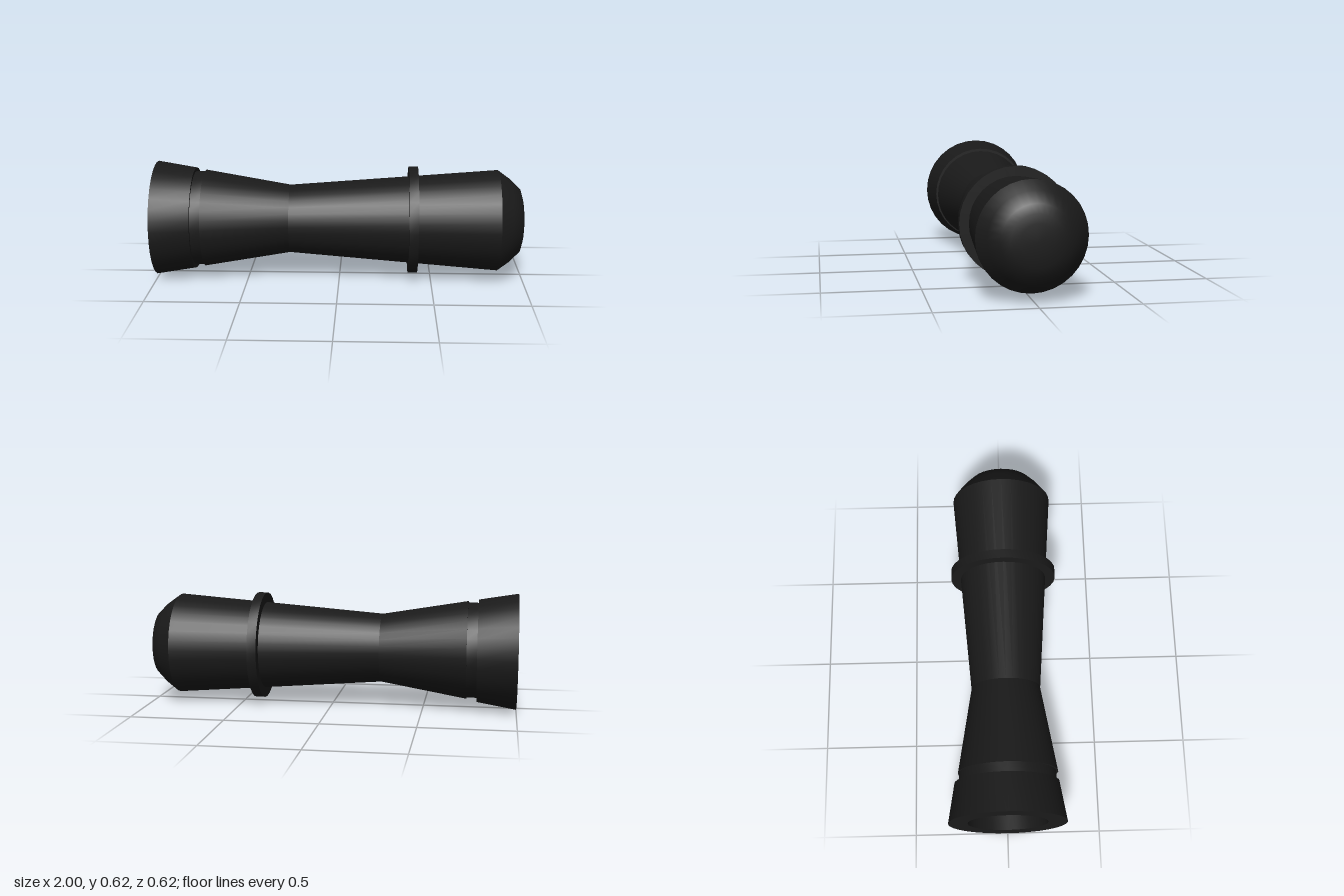
import * as THREE from 'three';
import { toCreasedNormals } from 'three/addons/utils/BufferGeometryUtils.js';

const SIDES = 32;

export function createModel() {
  const group = new THREE.Group();
  const material = new THREE.MeshStandardMaterial({ color: 0x1a1a1a });

  // Turned part: profile of [x along the tube, radius], laid along the x axis
  function turned(name, profile, y, z, crease = 0.22) {
    const points = profile.map(([x, r]) => new THREE.Vector2(r, x));
    const geometry = toCreasedNormals(new THREE.LatheGeometry(points, SIDES), crease);
    geometry.rotateZ(-Math.PI / 2);
    const mesh = new THREE.Mesh(geometry, material);
    mesh.name = name;
    mesh.position.set(0, y, z);
    group.add(mesh);
  }

  // Closed ring with a bore: outer radii at both ends, inner radius
  const ring = (x0, r0, x1, r1, inner) =>
    [[x0, inner], [x0, r0], [x1, r1], [x1, inner], [x0, inner]];

  // Flared open end and the recessed collar behind it
  turned('flaredEnd', ring(-1, 0.312, -0.79, 0.277, 0.21), 0.3125, 0);
  turned('grooveCollar', ring(-0.8, 0.257, -0.73, 0.257, 0.195), 0.314, 0.004);

  // Waisted body, closed at the collar
  turned('body', [[-0.735, 0], [-0.735, 0.265], [-0.27, 0.186], [0.86, 0.275]], 0.3145, 0.007);

  // Raised band around the body
  turned('band', ring(0.375, 0.291, 0.425, 0.291, 0.22), 0.3145, 0.007);

  // Rounded tip
  turned('domedTip', [[0.86, 0.275], [0.925, 0.228], [0.98, 0.175],
    [0.993, 0.13], [1, 0.085], [1, 0]], 0.3145, 0.007, 0.6);

  return group;
}
